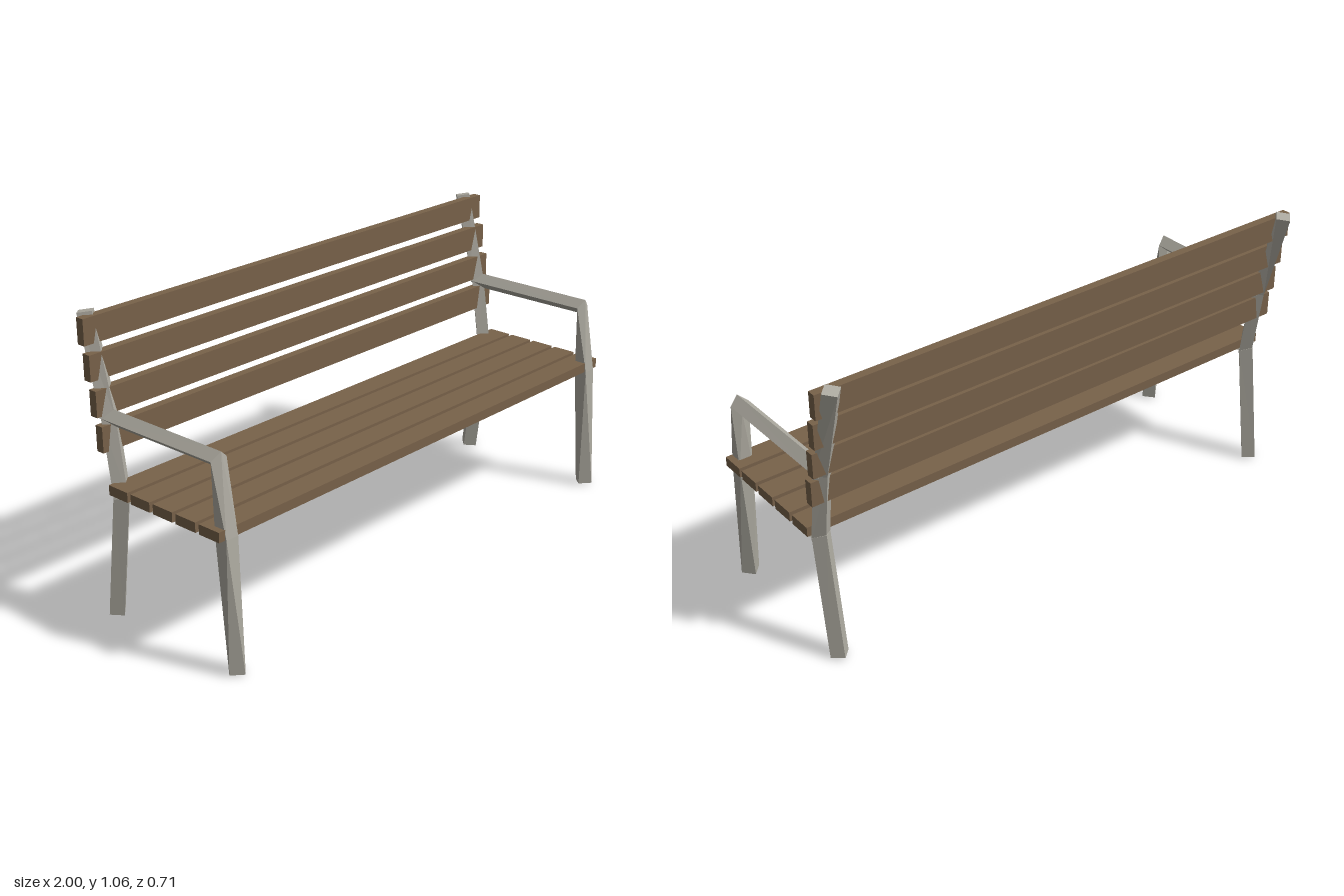
import * as THREE from 'three';

// Four-sided bar lofted through rings lying across the y-z plane.
// ring: [y, z, travel dir y, travel dir z, twist in degrees, radius across, radius in x]
function bar(name, side, rings, material) {
  const pts = rings.map(([y, z, ty, tz, twist, r, rx = r]) => {
    const len = Math.hypot(ty, tz);
    return [0, 1, 2, 3].map((k) => {
      const a = THREE.MathUtils.degToRad(twist + 90 * k);
      const s = Math.sin(a) * r / len;
      return [side * (0.95 + rx * Math.cos(a)), y + s * tz, z - s * ty];
    });
  });
  const pos = [];
  const tri = (a, b, c) => pos.push(...a, ...(side > 0 ? [...b, ...c] : [...c, ...b]));
  const quad = (a, b, c, d) => { tri(a, b, c); tri(a, c, d); };
  for (let i = 0; i < pts.length - 1; i++) {
    for (let k = 0; k < 4; k++) {
      const n = (k + 1) % 4;
      quad(pts[i][k], pts[i][n], pts[i + 1][n], pts[i + 1][k]);
    }
  }
  const [a, b, c, d] = pts[0];
  quad(d, c, b, a);
  quad(...pts[pts.length - 1]);
  const geo = new THREE.BufferGeometry();
  geo.setAttribute('position', new THREE.Float32BufferAttribute(pos, 3));
  geo.computeVertexNormals();
  const mesh = new THREE.Mesh(geo, material);
  mesh.name = name;
  return mesh;
}

export function createModel() {
  const model = new THREE.Group();
  model.name = 'parkBench';
  const wood = new THREE.MeshStandardMaterial({ color: 0x78624a });
  wood.name = 'brownWood';
  const metal = new THREE.MeshStandardMaterial({ color: 0xaeaba1 });
  metal.name = 'greyMetal';

  const slat = (name, y, z, h, d) => {
    const mesh = new THREE.Mesh(new THREE.BoxGeometry(2, h, d), wood);
    mesh.position.set(0, y, z);
    mesh.name = name;
    model.add(mesh);
  };

  // seat slats
  for (let i = 0; i < 5; i++) slat('seatSlat', 0.49, 0.268 - i * 0.105, 0.035, 0.089);
  // backrest slats, stepping back as they rise
  for (let i = 0; i < 4; i++) slat('backSlat', 0.658 + i * 0.1157, -0.2275 - i * 0.0204, 0.09, 0.031);

  // metal end frames
  for (const side of [1, -1]) {
    const frame = new THREE.Group();
    frame.name = side > 0 ? 'leftFrame' : 'rightFrame';
    frame.add(
      // front leg twists upward and bends into the armrest
      bar('frontLegAndArmrest', side, [
        [0.007, 0.32, 1, -0.07, 0, 0.037, 0.035],
        [0.47, 0.293, 1, -0.1, -45, 0.035],
        [0.7215, 0.2695, 0.4, -0.92, -90, 0.031, 0.033],
        [0.7215, -0.245, 0, -1, -90, 0.029, 0.033],
      ], metal),
      // seat rail bends down into the back leg
      bar('seatRailAndBackLeg', side, [
        [0.47, 0.295, 0, -1, 0, 0.027, 0.033],
        [0.46, -0.196, -0.92, -0.39, 0, 0.038, 0.035],
        [0.006, -0.256, -0.99, -0.12, 0, 0.036, 0.035],
      ], metal),
      // backrest post with a slight bend
      bar('backPost', side, [
        [0.45, -0.194, 0.98, -0.16, 0, 0.031, 0.035],
        [0.72, -0.233, 0.98, -0.2, 0, 0.03, 0.035],
        [1.056, -0.321, 0.98, -0.18, 0, 0.035, 0.035],
      ], metal),
    );
    model.add(frame);
  }
  return model;
}
